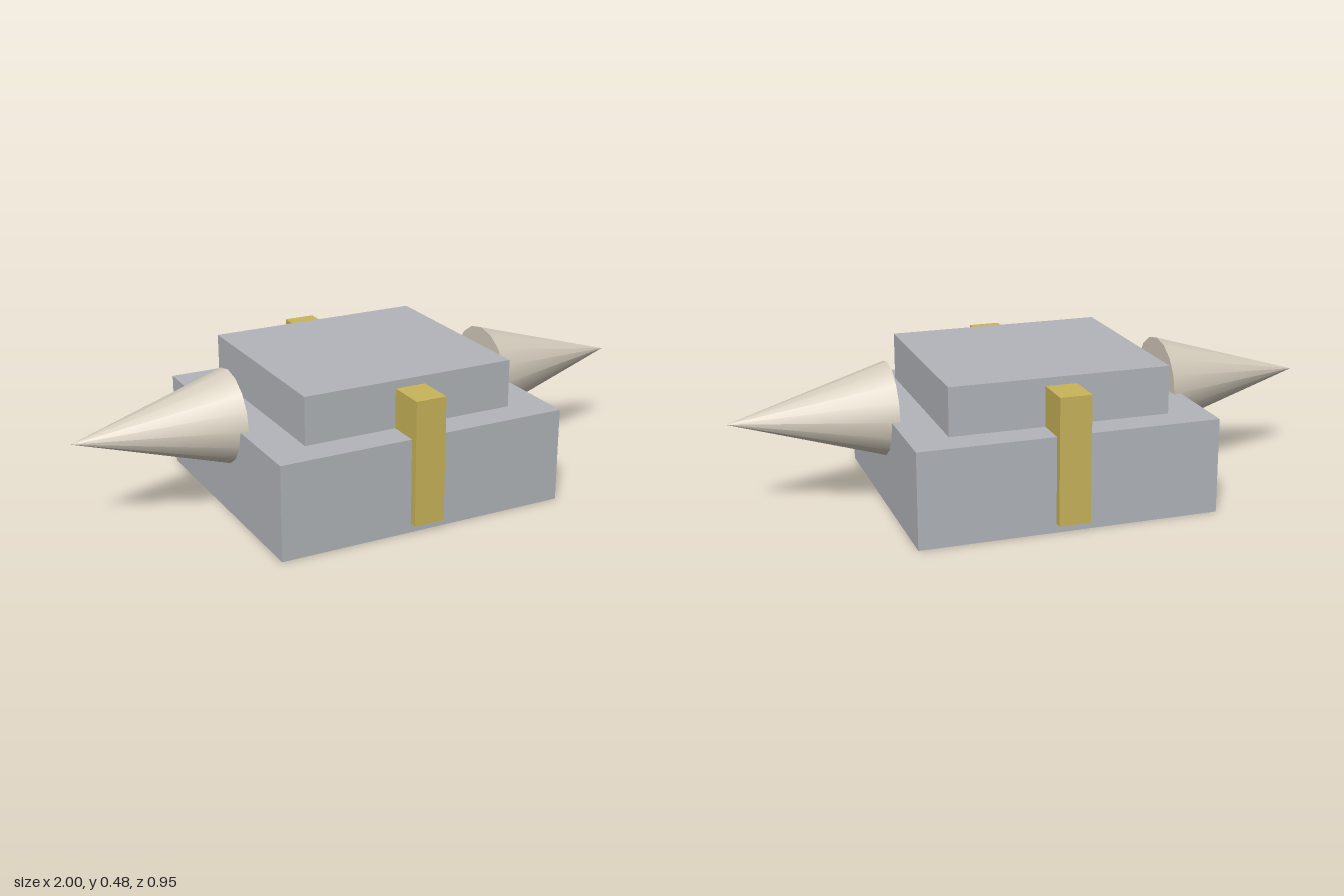
import * as THREE from 'three';

export function createModel() {
  const model = new THREE.Group();
  const material = (name, color) => {
    const m = new THREE.MeshStandardMaterial({ color });
    m.name = name;
    return m;
  };
  const grey = material('stone grey', 0xb2b5ba);
  const gold = material('gold', 0xc9b45a);
  const ivory = material('ivory', 0xd6cebe);

  const add = (name, geometry, mat, x, y, z) => {
    const mesh = new THREE.Mesh(geometry, mat);
    mesh.name = name;
    mesh.position.set(x, y, z);
    model.add(mesh);
    return mesh;
  };

  // Stepped body
  add('baseBlock', new THREE.BoxGeometry(1, 0.317, 0.894), grey, 0, 0.1585, 0);
  add('upperBlock', new THREE.BoxGeometry(0.736, 0.16, 0.682), grey, 0, 0.397, 0);

  // Gold straps on front and back, set into the body
  for (const [side, s] of [['front', 1], ['back', -1]]) {
    add(side + 'Strap', new THREE.BoxGeometry(0.105, 0.42, 0.158), gold, 0, 0.24, s * 0.394);
  }

  // Horns pointing outwards, bases sunk into the sides
  const horn = new THREE.ConeGeometry(0.158, 0.526, 16);
  for (const [side, s] of [['left', 1], ['right', -1]]) {
    add(side + 'Horn', horn, ivory, s * 0.737, 0.318, 0).rotation.z = -s * Math.PI / 2;
  }

  return model;
}
